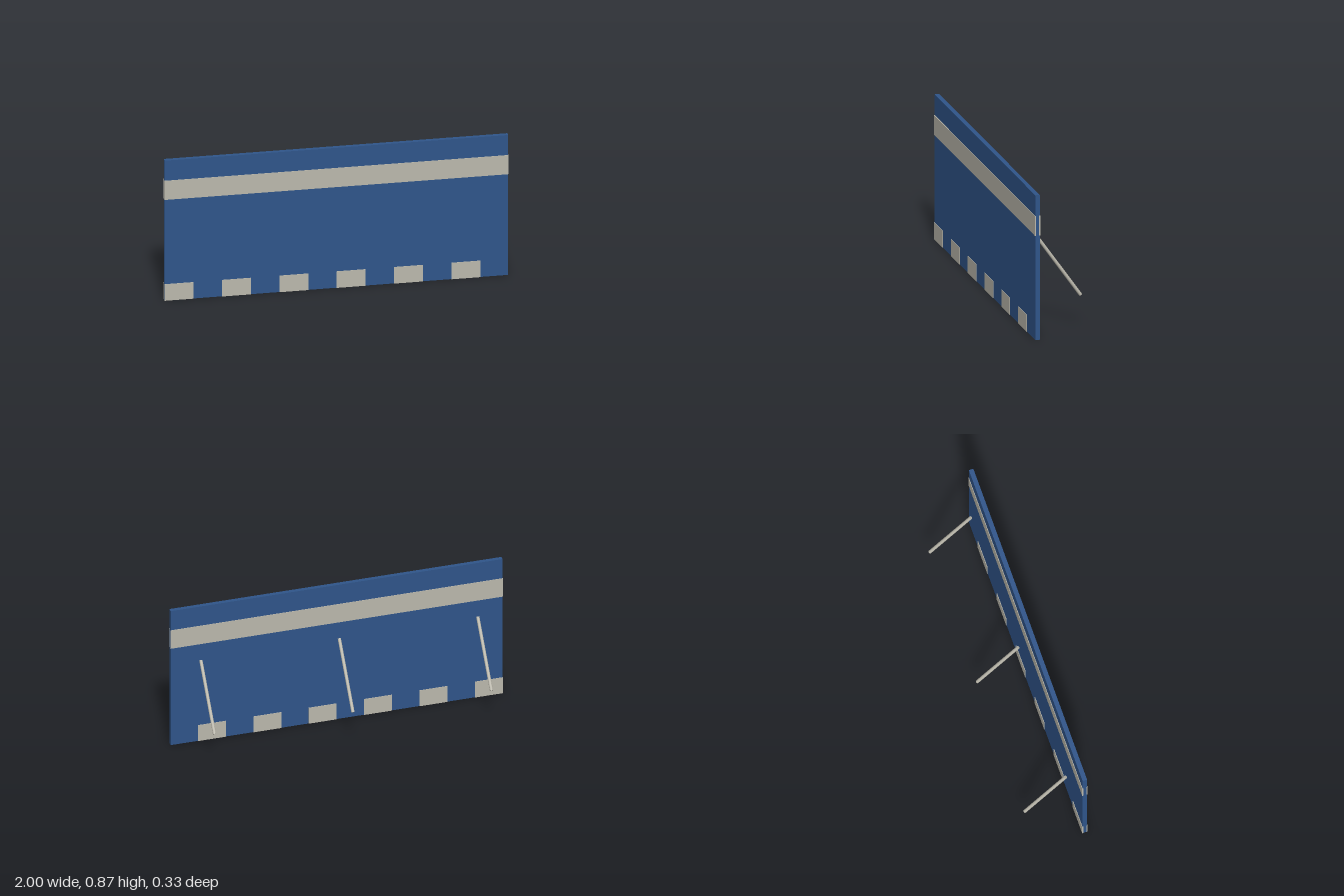
import * as THREE from 'three';

export function createModel() {
  const group = new THREE.Group();
  const blue = new THREE.MeshStandardMaterial({ color: 0x2f558a });
  blue.name = 'blue';
  const grey = new THREE.MeshStandardMaterial({ color: 0xbbb8ac });
  grey.name = 'warm grey';

  const add = (name, geometry, material, x, y, z) => {
    const mesh = new THREE.Mesh(geometry, material);
    mesh.name = name;
    mesh.position.set(x, y, z);
    group.add(mesh);
    return mesh;
  };

  // Upright board
  const height = 0.867, boardZ = 0.151;
  add('board', new THREE.BoxGeometry(1.997, height, 0.027), blue, 0, height / 2, boardZ);

  // Long stripe and row of bottom blocks on both faces
  const stripe = new THREE.BoxGeometry(2, 0.118, 0.008);
  const block = new THREE.BoxGeometry(0.168, 0.102, 0.008);
  for (const [side, s] of [['front', 1], ['back', -1]]) {
    const z = boardZ + s * 0.0125;
    add(side + 'Stripe', stripe, grey, 0, 0.684, z);
    for (let i = 0; i < 6; i++) {
      add(side + 'Block', block, grey, -0.915 + i / 3, 0.051, z);
    }
  }

  // Slanted round struts behind the board
  const strut = new THREE.CylinderGeometry(0.0098, 0.0098, 0.431, 12);
  for (const x of [-0.833, 0, 0.833]) {
    add('strut', strut, grey, x, 0.369, -0.032).rotation.x = THREE.MathUtils.degToRad(35);
  }
  return group;
}
